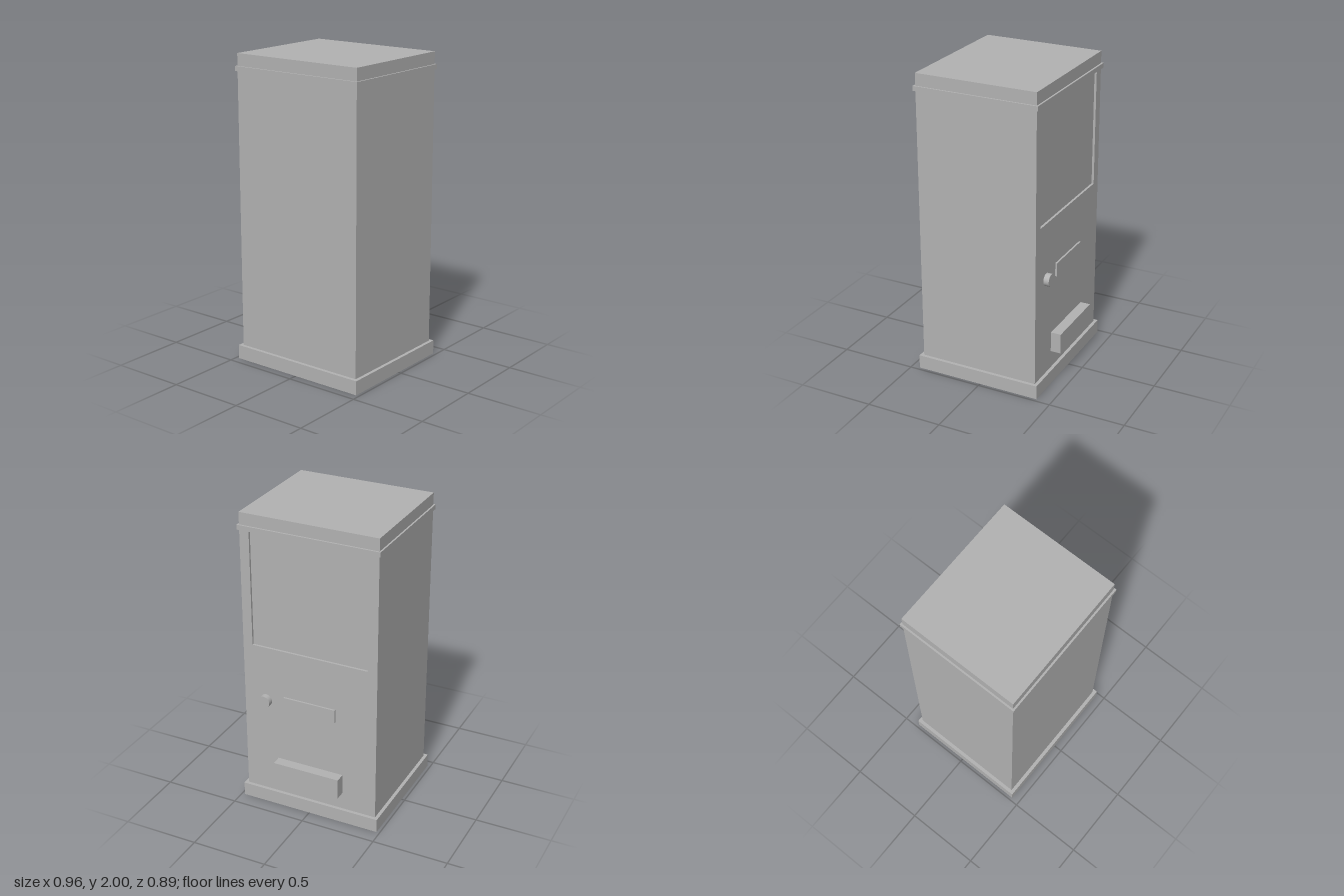
import * as THREE from 'three';

export function createModel() {
  const group = new THREE.Group();
  const grey = new THREE.MeshStandardMaterial({ color: 0xb2b2b2 });
  grey.name = 'grey';

  const add = (name, geometry) => {
    const mesh = new THREE.Mesh(geometry, grey);
    mesh.name = name;
    group.add(mesh);
    return mesh;
  };

  // Box given by half width and its y and z ranges
  const slab = (name, halfW, y0, y1, z0, z1) =>
    add(name, new THREE.BoxGeometry(halfW * 2, y1 - y0, z1 - z0))
      .position.set(0, (y0 + y1) / 2, (z0 + z1) / 2);

  const W = 0.457, BACK = -0.378, FRONT = 0.421, RECESS = 0.015;

  // Cabinet: plinth, body, trim band and cap
  slab('plinth', 0.479, 0, 0.092, -0.4, 0.444);
  slab('body', W, 0.092, 1.89, BACK + RECESS, FRONT);
  slab('trimBand', 0.468, 1.89, 1.921, -0.39, 0.433);
  slab('cap', W, 1.921, 2, BACK, FRONT);

  // Back skin with a shallow window recess running up to the trim band
  const skin = new THREE.Shape([
    [-W, 0.092], [W, 0.092], [W, 1.89], [0.393, 1.89],
    [0.393, 1.13], [-0.393, 1.13], [-0.393, 1.89], [-W, 1.89],
  ].map(([x, y]) => new THREE.Vector2(x, y)));
  add('backPanel', new THREE.ExtrudeGeometry(skin, { depth: RECESS, bevelEnabled: false }))
    .position.z = BACK;

  // Slot plate and delivery tray on the back
  slab('slotPlate', 0.178, 0.72, 0.81, BACK - 0.012, BACK);
  slab('deliveryTray', 0.228, 0.21, 0.345, -0.446, BACK);

  // Round knob beside the slot plate
  const knob = add('knob', new THREE.CylinderGeometry(0.041, 0.041, 0.036, 24));
  knob.rotation.x = -Math.PI / 2;
  knob.position.set(0.307, 0.757, BACK - 0.018);

  return group;
}
